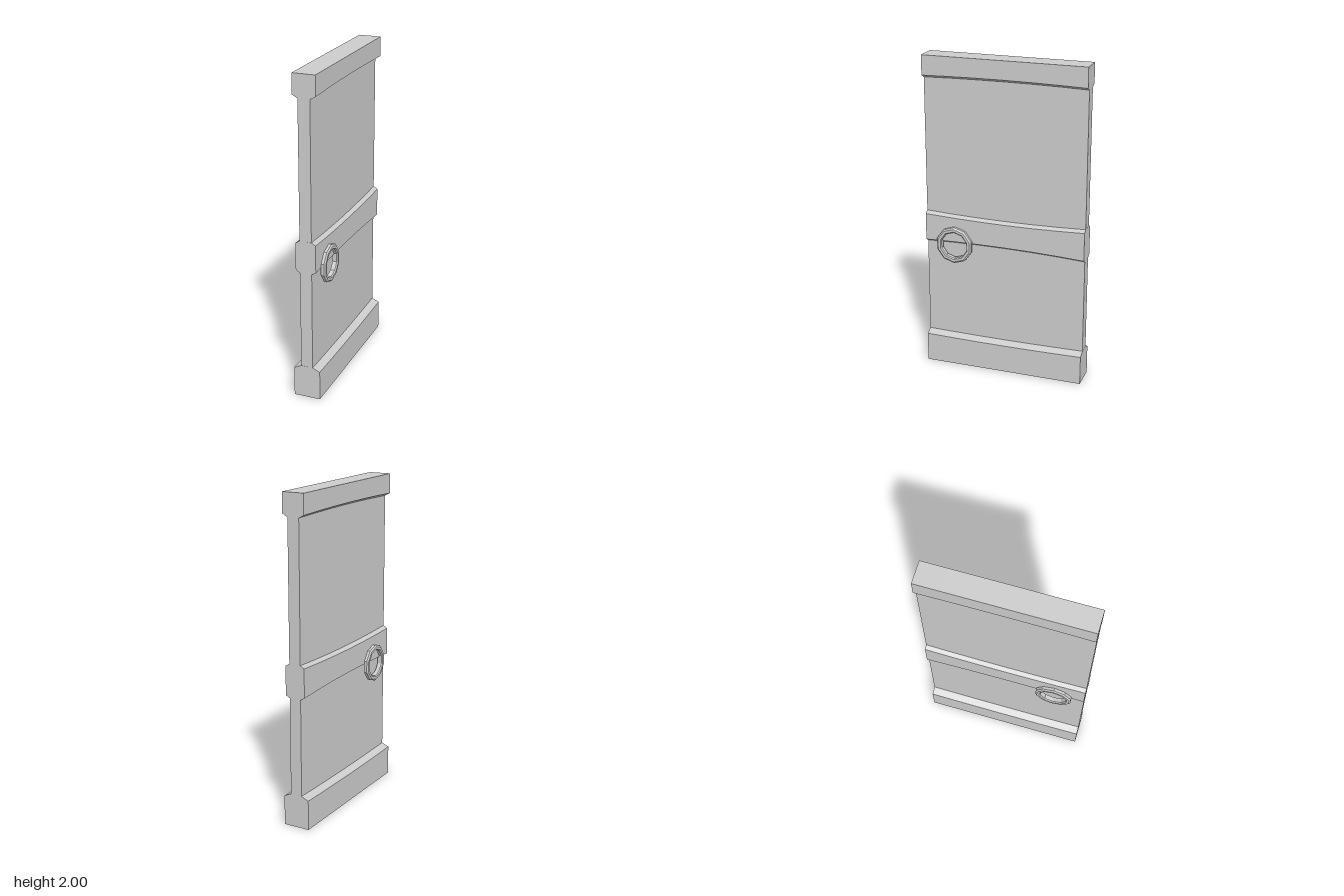
import * as THREE from 'three';

const material = new THREE.MeshStandardMaterial({ color: 0xcccccc, flatShading: true });
const HALF = 0.51; // half the door's width, along z

function addMesh(group, name, geometry) {
  const mesh = new THREE.Mesh(geometry, material);
  mesh.name = name;
  group.add(mesh);
  return mesh;
}

// Rail swept along z. Each edge is { y, chamfer, sag, tilt }:
// y at the ends, sag added towards the middle, tilt added at the +z end.
function rail(halfWidth, neck, bottom, top) {
  const profile = [
    [bottom.chamfer ? neck : halfWidth, bottom.y],
    [halfWidth, bottom.y + bottom.chamfer],
    [halfWidth, top.y - top.chamfer],
    [top.chamfer ? neck : halfWidth, top.y],
  ];
  const outline = [...profile, ...profile.map(([x, y]) => [-x, y]).reverse()]
    .map(([x, y]) => new THREE.Vector2(x, y))
    .filter((p, i, all) => i === 0 || p.distanceTo(all[i - 1]) > 1e-6);
  const geometry = new THREE.ExtrudeGeometry(new THREE.Shape(outline), {
    depth: 2 * HALF, steps: 6, bevelEnabled: false,
  });
  geometry.translate(0, 0, -HALF);
  // hand-worn bend of the long edges
  const pos = geometry.attributes.position;
  const middle = (bottom.y + top.y) / 2;
  for (let i = 0; i < pos.count; i++) {
    const edge = pos.getY(i) < middle ? bottom : top;
    const t = pos.getZ(i) / HALF;
    pos.setY(i, pos.getY(i) + edge.sag * (1 - t * t) + edge.tilt * t);
  }
  geometry.computeVertexNormals();
  return geometry;
}

export function createModel() {
  const door = new THREE.Group();
  door.name = 'door';

  // Thin board running the full height behind the rails
  const panel = addMesh(door, 'panel', new THREE.BoxGeometry(0.074, 1.88, 2 * HALF - 0.001));
  panel.position.y = 1.0;

  // Three thick cross rails with chamfered edges
  const straight = (y) => ({ y, chamfer: 0, sag: 0, tilt: 0 });
  addMesh(door, 'topRail', rail(0.07, 0.036,
    { y: 1.86, chamfer: 0.018, sag: 0.008, tilt: 0 }, straight(2)));
  addMesh(door, 'middleRail', rail(0.063, 0.036,
    { y: 0.811, chamfer: 0.015, sag: 0.013, tilt: 0.006 },
    { y: 1.016, chamfer: 0.016, sag: -0.013, tilt: 0.002 }));
  addMesh(door, 'bottomRail', rail(0.083, 0.036,
    straight(0), { y: 0.206, chamfer: 0.021, sag: -0.006, tilt: 0 }));

  // Ten-sided ring pulls with a bevelled section, one on each face
  const section = [
    [0.086, -0.017], [0.108, -0.017], [0.118, -0.009], [0.118, 0.009],
    [0.108, 0.017], [0.092, 0.017], [0.086, 0.010], [0.086, -0.017],
  ].map(([r, h]) => new THREE.Vector2(r, h));
  for (const side of [1, -1]) {
    const geometry = new THREE.LatheGeometry(section, 10);
    geometry.rotateY(Math.PI / 2); // a corner points up
    geometry.rotateZ(-side * Math.PI / 2);
    const ring = addMesh(door, side > 0 ? 'leftRingPull' : 'rightRingPull', geometry);
    ring.position.set(side * 0.071, 0.82, 0.318);
  }
  return door;
}
